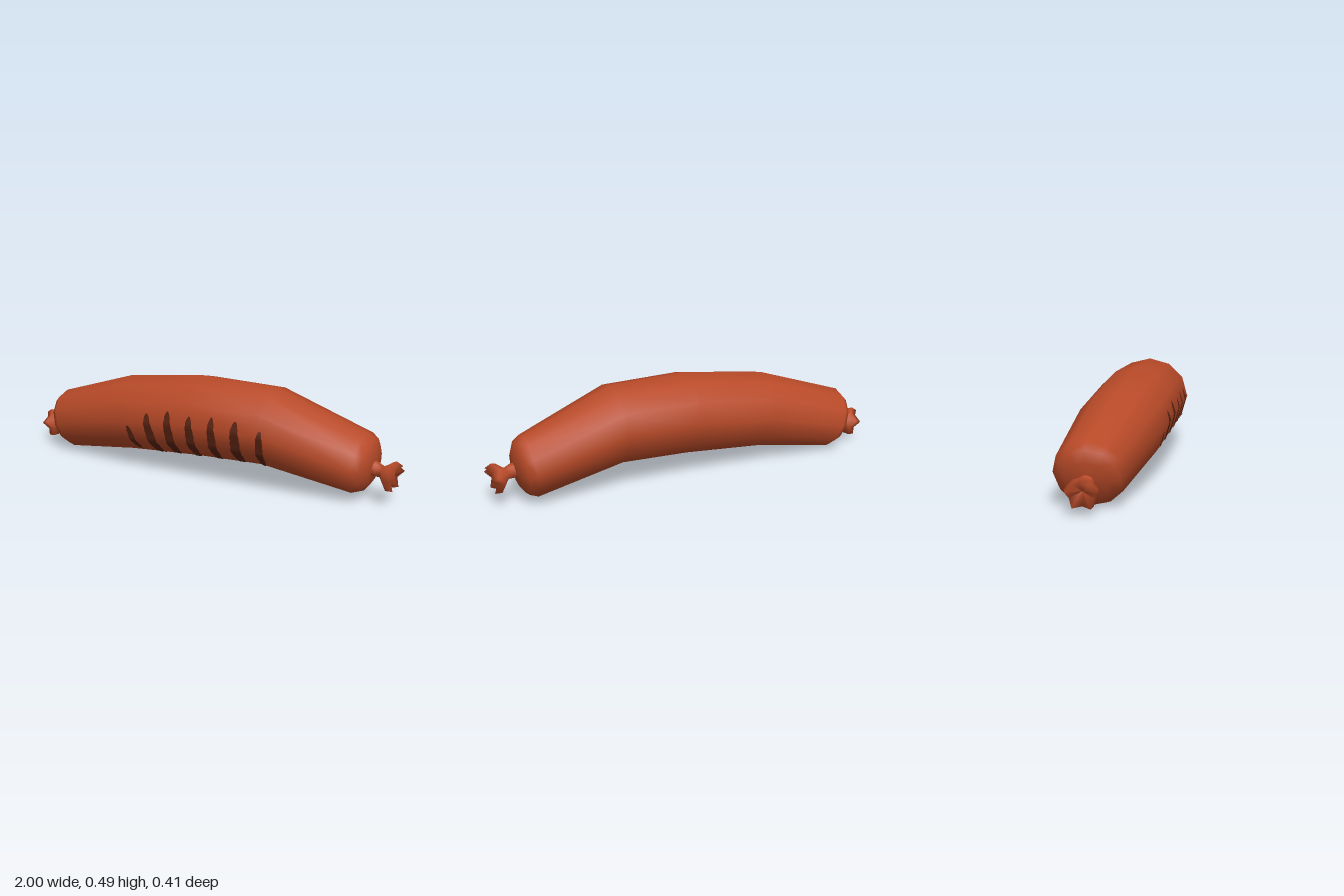
import * as THREE from 'three';

const SIDES = 12;

// Smooth skin over a list of equally sized closed rings of Vector3, running along +x
function loft(rings) {
  const n = rings[0].length, index = [];
  for (let i = 0; i < rings.length - 1; i++) {
    for (let j = 0; j < n; j++) {
      const k = (j + 1) % n;
      const a = i * n + j, b = i * n + k, c = a + n, d = b + n;
      index.push(a, b, d, a, d, c);
    }
  }
  const geometry = new THREE.BufferGeometry().setFromPoints(rings.flat());
  geometry.setIndex(index);
  geometry.computeVertexNormals();
  return geometry;
}

// Elliptical ring from its top and bottom point, z centre and z radius,
// optionally shrunk and pushed along its own axis
function bodyRing([tx, ty, bx, by, z, rz], scale = 1, push = 0) {
  const ux = (tx - bx) / 2, uy = (ty - by) / 2, len = Math.hypot(ux, uy);
  const cx = (tx + bx) / 2 + (uy / len) * push;
  const cy = (ty + by) / 2 - (ux / len) * push;
  return Array.from({ length: SIDES }, (_, j) => {
    const a = (j / SIDES) * Math.PI * 2, c = Math.cos(a) * scale;
    return new THREE.Vector3(cx + ux * c, cy + uy * c, z + rz * Math.sin(a) * scale);
  });
}

function bodyGeometry() {
  const sections = [
    [-0.86, 0.295, -0.76, 0.005, -0.037, 0.158],
    [-0.43, 0.435, -0.35, 0.067, -0.007, 0.197],
    [-0.01, 0.49, 0.03, 0.095, -0.002, 0.202],
    [0.38, 0.483, 0.36, 0.107, -0.006, 0.197],
    [0.82, 0.32, 0.78, 0.03, -0.047, 0.15],
  ];
  const cap = [[0.87, 0.035], [0.57, 0.06], [0, 0.068]]; // scale, push
  const first = sections[0], last = sections[sections.length - 1];
  return loft([
    ...cap.map(([s, p]) => bodyRing(first, s, -p)).reverse(),
    ...sections.map((s) => bodyRing(s)),
    ...cap.map(([s, p]) => bodyRing(last, s, p)),
  ]);
}

// Pinched casing tail: narrow neck flaring into a five-lobed hollow ruffle
function knotGeometry() {
  const profile = [ // distance, radius, ruffle amount
    [-0.02, 0.04, 0], [0.015, 0.033, 0], [0.04, 0.028, 0],
    [0.09, 0.075, 1], [0.122, 0.066, 1], [0.075, 0.0, 0],
  ];
  return loft(profile.map(([s, r, ruffle]) =>
    Array.from({ length: 10 }, (_, j) => {
      const a = (j / 10) * Math.PI * 2, fold = (j % 2) * ruffle;
      const radius = r * (1 - 0.16 * fold);
      return new THREE.Vector3(s - 0.022 * fold, Math.cos(a) * radius, Math.sin(a) * radius);
    })));
}

// Thin charred strip projected onto the front of the body
function markGeometry(body, [xBottom, xTop, y0, y1, width], seed) {
  const rows = 18, cols = 4, points = [], index = [];
  const ray = new THREE.Raycaster(), back = new THREE.Vector3(0, 0, -1);
  for (let i = 0; i <= rows; i++) {
    const t = i / rows;
    const round = Math.pow(Math.max(0, 1 - Math.pow(Math.abs(2 * t - 1), 3)), 0.6);
    const w = width * (1 - 0.3 * t) * (0.2 + 0.8 * round) * (1 + 0.08 * Math.sin(i * 2.3 + seed));
    const y = y0 + (y1 - y0) * t;
    for (let j = 0; j <= cols; j++) {
      const x = xBottom + (xTop - xBottom) * t + (j / cols - 0.5) * w;
      ray.set(new THREE.Vector3(x, y, 1), back);
      const hit = ray.intersectObject(body)[0];
      const p = hit ? hit.point.clone().addScaledVector(hit.face.normal, 0.004)
        : new THREE.Vector3(x, y, 0);
      points.push(p);
      if (i < rows && j < cols) {
        const a = i * (cols + 1) + j, b = a + cols + 1;
        index.push(a, a + 1, b + 1, a, b + 1, b);
      }
    }
  }
  const geometry = new THREE.BufferGeometry().setFromPoints(points);
  geometry.setIndex(index);
  geometry.computeVertexNormals();
  return geometry;
}

export function createModel() {
  const casing = new THREE.MeshStandardMaterial({ color: 0xb84a28 });
  casing.name = 'casing';
  const char = new THREE.MeshStandardMaterial({ color: 0x5a2312 });
  char.name = 'char';

  const model = new THREE.Group();
  model.name = 'sausage';
  const add = (name, geometry, material) => {
    const mesh = new THREE.Mesh(geometry, material);
    mesh.name = name;
    model.add(mesh);
    return mesh;
  };

  const body = add('body', bodyGeometry(), casing);

  // Twisted ends
  const knot = knotGeometry();
  const leftKnot = add('leftKnot', knot, casing);
  leftKnot.position.set(0.863, 0.162, -0.036);
  leftKnot.rotation.z = -0.25;
  const rightKnot = add('rightKnot', knot, casing);
  rightKnot.position.set(-0.863, 0.13, -0.036);
  rightKnot.rotation.set(0, Math.PI, -0.33);

  // Grill marks: bottom x, top x, bottom y, top y, width
  const marks = [
    [-0.297, -0.325, 0.11, 0.24, 0.04],
    [-0.182, -0.213, 0.087, 0.315, 0.058],
    [-0.083, -0.094, 0.09, 0.342, 0.056],
    [0.028, 0.028, 0.108, 0.336, 0.052],
    [0.142, 0.146, 0.108, 0.348, 0.05],
    [0.263, 0.268, 0.12, 0.345, 0.058],
    [0.379, 0.392, 0.13, 0.318, 0.042],
  ];
  marks.forEach((m, i) => add(`grillMark${i + 1}`, markGeometry(body, m, i), char));

  return model;
}
